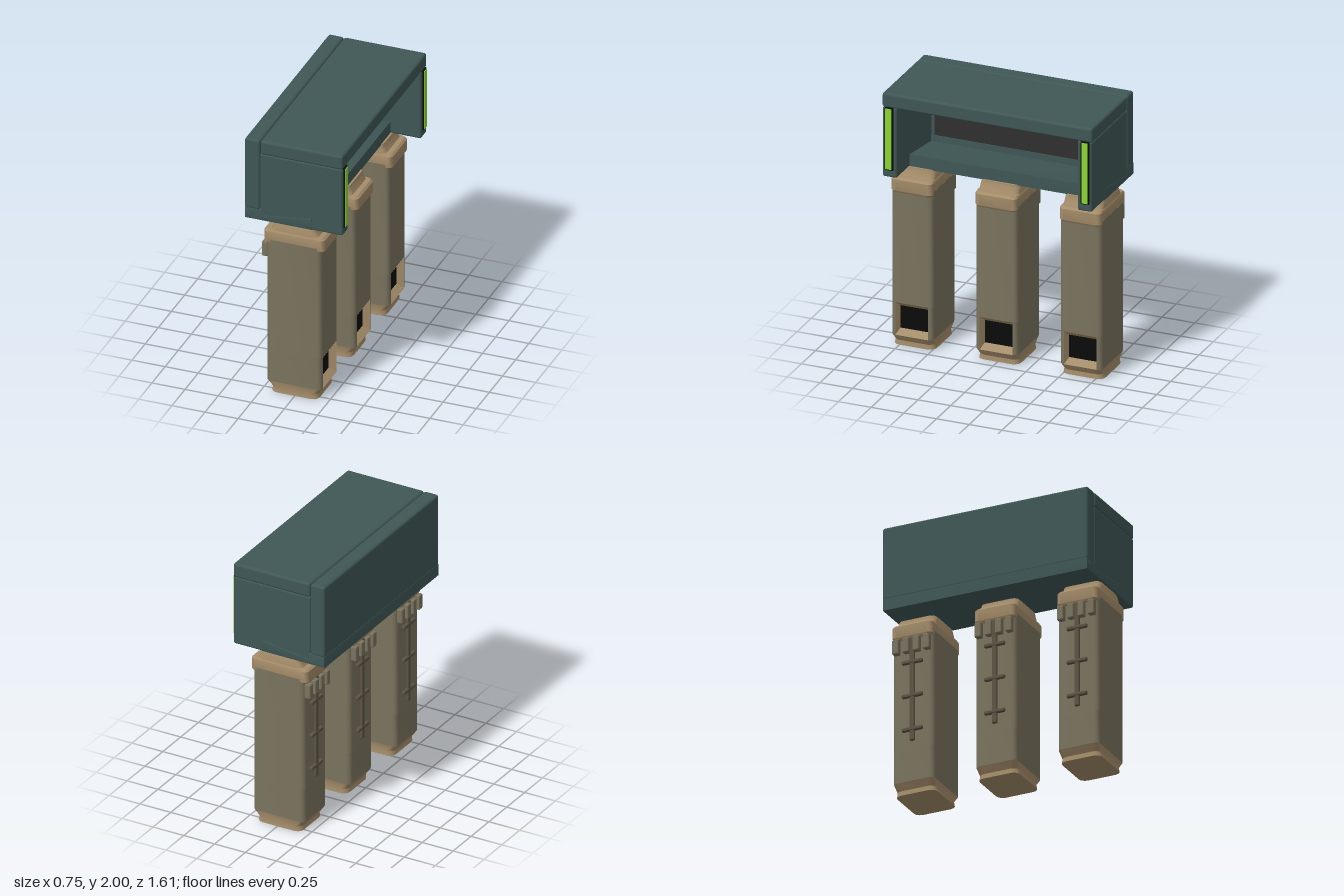
import * as THREE from 'three';
import { toCreasedNormals } from 'three/addons/utils/BufferGeometryUtils.js';
import { RoundedBoxGeometry } from 'three/addons/geometries/RoundedBoxGeometry.js';

const material = (name, color, extra = {}) => {
  const m = new THREE.MeshStandardMaterial({ color, ...extra });
  m.name = name;
  return m;
};

// Rounded rectangle in the xz plane, starting on the +x side
function ring(x0, x1, hz, r, notch = []) {
  const pts = [], cx = (x0 + x1) / 2, hx = (x1 - x0) / 2;
  [[1, 1], [-1, 1], [-1, -1], [1, -1]].forEach(([sx, sz], q) => {
    for (let k = 0; k <= 3; k++) {
      const a = (q + k / 3) * Math.PI / 2;
      pts.push([cx + sx * (hx - r) + r * Math.cos(a), sz * (hz - r) + r * Math.sin(a)]);
    }
  });
  return pts.concat(notch);
}

// Skin stacked rings, each given as [height, points]
function loft(levels, capped = true) {
  const pos = [];
  const tri = (...p) => p.forEach(v => pos.push(...v));
  const at = ([y, pts], i) => {
    const p = pts[i % pts.length];
    return [p[0], y, p[1]];
  };
  const n = levels[0][1].length;
  const mid = ([y, pts]) => [pts.reduce((s, p) => s + p[0], 0) / n, y, 0];
  const first = levels[0], last = levels[levels.length - 1];
  for (let i = 0; i < n; i++) {
    for (let l = 0; l < levels.length - 1; l++) {
      const lo = levels[l], hi = levels[l + 1];
      tri(at(lo, i), at(hi, i), at(hi, i + 1));
      tri(at(lo, i), at(hi, i + 1), at(lo, i + 1));
    }
    if (capped) {
      tri(mid(first), at(first, i), at(first, i + 1));
      tri(mid(last), at(last, i + 1), at(last, i));
    }
  }
  const g = new THREE.BufferGeometry();
  g.setAttribute('position', new THREE.Float32BufferAttribute(pos, 3));
  return toCreasedNormals(g, 0.6);
}

// Box from its limits on each axis, rounded when r is given
function box(x0, x1, y0, y1, z0, z1, r = 0) {
  const size = [x1 - x0, y1 - y0, z1 - z0];
  const g = r ? new RoundedBoxGeometry(...size, 3, r) : new THREE.BoxGeometry(...size);
  return g.translate((x0 + x1) / 2, (y0 + y1) / 2, (z0 + z1) / 2);
}

export function createModel() {
  const model = new THREE.Group();
  model.name = 'streetCabinetOnLegs';
  const teal = material('teal', 0x3f5756);
  const olive = material('olive grey', 0x7a735e);
  const tan = material('tan', 0xa58d6a);
  const tanSheet = tan;
  tanSheet.side = THREE.DoubleSide;
  const brown = material('dark brown', 0x5c5444);
  const charcoal = material('charcoal', 0x303030);
  const black = material('black', 0x0b0b0b);
  const green = material('green', 0x8cd632);

  const add = (parent, name, geometry, mat) => {
    const mesh = new THREE.Mesh(geometry, mat);
    mesh.name = name;
    parent.add(mesh);
    return mesh;
  };

  // Housing, open towards +x
  const housing = new THREE.Group();
  housing.name = 'housing';
  model.add(housing);
  add(housing, 'roof', box(-0.262, 0.36, 1.89, 2, -0.803, 0.803, 0.018), teal);
  add(housing, 'backPanel', box(-0.38, -0.264, 1.44, 2, -0.803, 0.803, 0.018), teal);
  add(housing, 'innerPanel', box(-0.266, -0.258, 1.42, 1.892, -0.67, 0.67), charcoal);

  // Floor with a sloping top and an upright lip at the back
  const profile = new THREE.Shape([
    [-0.38, 1.36], [0.13, 1.36], [0.13, 1.455], [-0.25, 1.405], [-0.25, 1.45], [-0.38, 1.45],
  ].map(p => new THREE.Vector2(...p)));
  const floor = new THREE.ExtrudeGeometry(profile, {
    depth: 1.586, bevelThickness: 0.01, bevelSize: 0.01, bevelOffset: -0.01, bevelSegments: 2,
  }).translate(0, 0, -0.793);
  add(housing, 'floor', toCreasedNormals(floor, 0.6), teal);

  // End walls with a light strip on each open edge
  for (const s of [-1, 1]) {
    const span = (a, b) => (s > 0 ? [a, b] : [-b, -a]);
    add(housing, 'endWall', box(-0.266, 0.36, 1.36, 1.895, ...span(0.69, 0.8), 0.016), teal);
    add(housing, 'lightFrame', box(0.345, 0.368, 1.415, 1.895, ...span(0.715, 0.783), 0.008), black);
    add(housing, 'lightStrip', box(0.365, 0.373, 1.425, 1.888, ...span(0.728, 0.773)), green);
  }

  // Shared leg shapes
  const section = (inset = 0) => ring(-0.215 + inset, 0.2 - inset, 0.16, 0.035);
  const notched = ring(-0.215, 0.2, 0.16, 0.035, [[0.15, -0.105], [0.15, 0.105]]);
  const shaft = loft([[0.335, section()], [1.22, section()]]);
  const ventBand = loft([[0.085, notched], [0.335, notched]], false);
  const foot = loft([
    [0, ring(-0.185, 0.17, 0.158, 0.05)],
    [0.035, ring(-0.183, 0.168, 0.153, 0.05)],
    [0.085, section()],
  ]);
  const cap = loft([
    [1.185, ring(-0.23, 0.21, 0.15, 0.035)],
    [1.2, ring(-0.24, 0.22, 0.159, 0.035)],
    [1.285, ring(-0.24, 0.22, 0.159, 0.035)],
    [1.3, ring(-0.225, 0.205, 0.15, 0.035)],
  ]);
  const neck = loft([
    [1.29, ring(-0.195, 0.175, 0.152, 0.04)],
    [1.345, ring(-0.165, 0.145, 0.15, 0.04)],
    [1.365, ring(-0.165, 0.145, 0.142, 0.04)],
  ]);

  // Sloping faces around the vent recess
  const outer = [[0.085, -0.125], [0.085, 0.125], [0.335, 0.125], [0.335, -0.125]];
  const inner = [[0.125, -0.105], [0.125, 0.105], [0.295, 0.105], [0.295, -0.105]];
  const slopes = [];
  for (let i = 0; i < 4; i++) {
    const j = (i + 1) % 4;
    const o = k => [0.201, ...outer[k]], n = k => [0.151, ...inner[k]];
    slopes.push(...o(i), ...n(j), ...o(j), ...o(i), ...n(i), ...n(j));
  }
  const ventFrame = new THREE.BufferGeometry();
  ventFrame.setAttribute('position', new THREE.Float32BufferAttribute(slopes, 3));
  ventFrame.computeVertexNormals();

  for (const z of [0.65, 0, -0.65]) {
    const leg = new THREE.Group();
    leg.name = 'leg';
    leg.position.z = z * 0.992;
    model.add(leg);
    add(leg, 'shaft', shaft, olive);
    add(leg, 'ventBand', ventBand, olive);
    add(leg, 'foot', foot, tan);
    add(leg, 'cap', cap, tan);
    add(leg, 'neck', neck, tan);
    add(leg, 'ventFrame', ventFrame, tanSheet);
    add(leg, 'ventOpening', box(0.146, 0.152, 0.12, 0.3, -0.107, 0.107), black);

    // Conduit with clamps and hanging clips on the -x side
    add(leg, 'conduit', box(-0.235, -0.21, 0.39, 1.19, -0.02, 0.02, 0.01), brown);
    for (const y of [0.48, 0.74, 1.0])
      add(leg, 'clamp', box(-0.238, -0.21, y - 0.015, y + 0.015, -0.08, 0.08, 0.01), brown);
    for (const c of [-0.12, -0.04, 0.04, 0.12])
      add(leg, 'clip', box(-0.257, -0.21, 1.07, 1.185, c - 0.025, c + 0.025, 0.01), olive);
  }
  return model;
}
